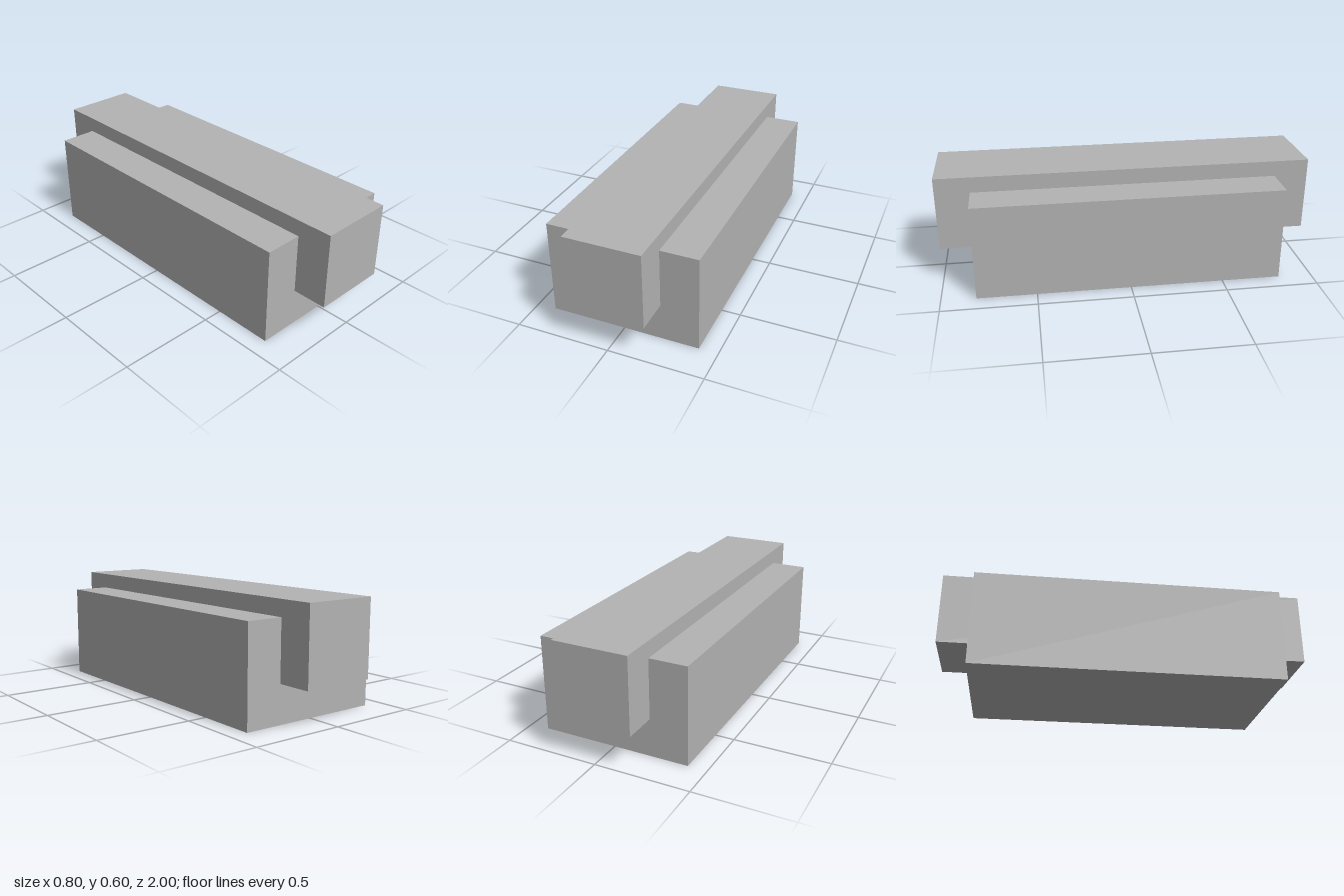
import * as THREE from 'three';

export function createModel() {
  const group = new THREE.Group();
  const grey = new THREE.MeshStandardMaterial({ color: 0xb3b3b3 });
  grey.name = 'grey';

  // Box spanning yMin to yMax, centred on x and z
  function addBlock(name, width, yMin, yMax, depth) {
    const mesh = new THREE.Mesh(new THREE.BoxGeometry(width, yMax - yMin, depth), grey);
    mesh.name = name;
    mesh.position.y = (yMin + yMax) / 2;
    group.add(mesh);
  }

  // Wide body resting on the ground
  addBlock('body', 0.8, 0, 0.515, 1.635);
  // Long square bar set into the body, standing out at the top and both ends
  addBlock('bar', 0.4, 0.2, 0.6, 2);

  return group;
}
